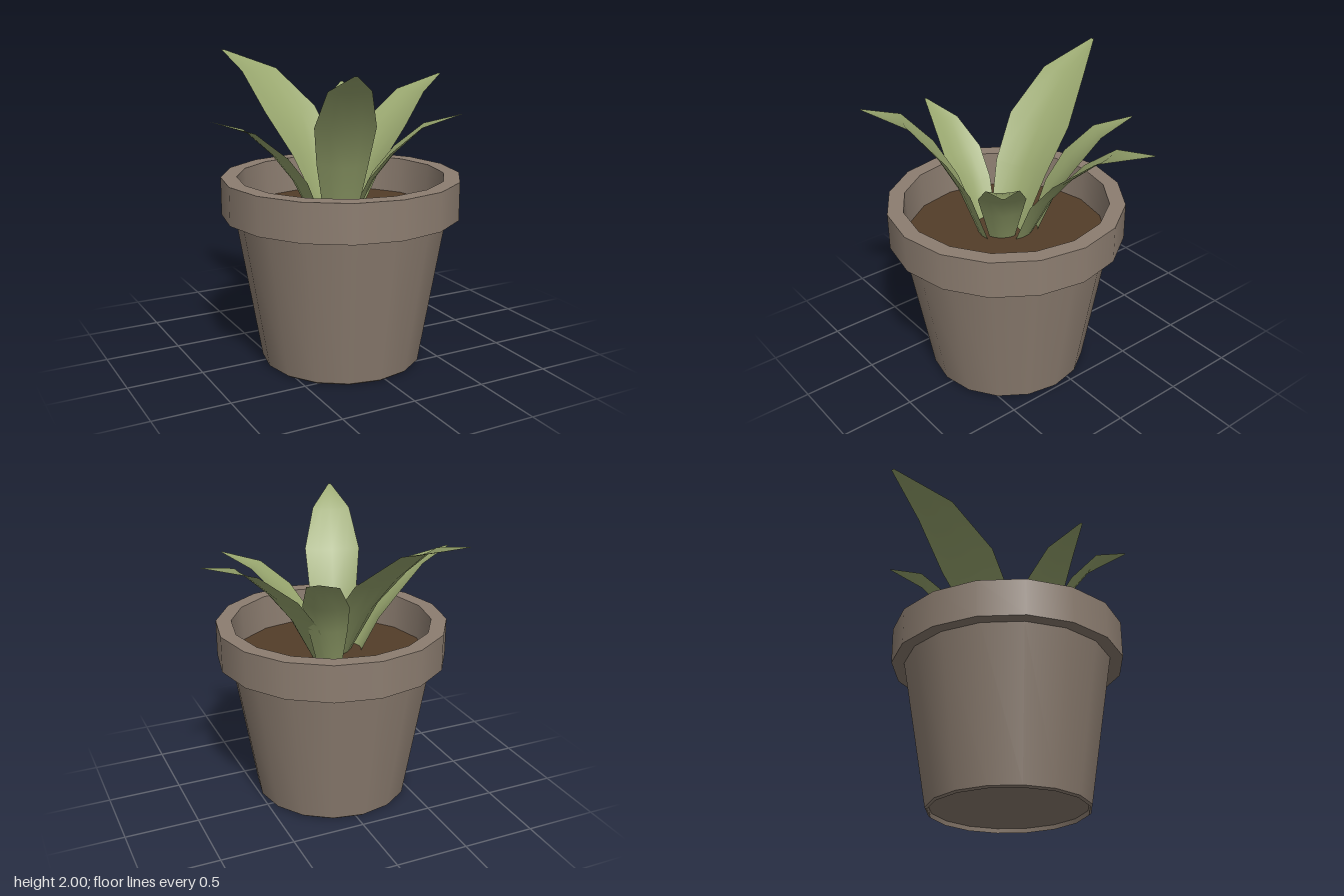
import * as THREE from 'three';

const SIDES = 16;

export function createModel() {
  const material = (name, color, side = THREE.FrontSide) => {
    const m = new THREE.MeshStandardMaterial({ color, side });
    m.name = name;
    return m;
  };
  const clay = material('clay', 0x8c7d70);
  const earth = material('earth', 0x533d29);
  const green = material('leafGreen', 0x99a76f, THREE.DoubleSide);

  const model = new THREE.Group();
  model.name = 'pottedPlant';

  // Pot: each band is its own lathe so the edges between bands stay sharp
  const pot = new THREE.Group();
  pot.name = 'pot';
  pot.position.set(-0.045, 0, 0.13);
  model.add(pot);

  const band = (name, mat, ...profile) => {
    const points = profile.map(([r, y]) => new THREE.Vector2(r, y));
    const mesh = new THREE.Mesh(new THREE.LatheGeometry(points, SIDES), mat);
    mesh.name = name;
    pot.add(mesh);
  };
  band('potFloor', clay, [0, 0.03], [0.515, 0.03]);
  band('footInside', clay, [0.515, 0.03], [0.52, 0]);
  band('footEdge', clay, [0.52, 0], [0.535, 0.012]);
  band('potWall', clay, [0.535, 0.012], [0.7, 1]);
  band('rimUnderside', clay, [0.69, 1], [0.785, 1]);
  band('rimOutside', clay, [0.785, 1], [0.785, 1.25]);
  band('rimTop', clay, [0.785, 1.25], [0.68, 1.25]);
  band('rimInside', clay, [0.68, 1.25], [0.665, 1]);
  band('soil', earth, [0.668, 1.01], [0, 1.01]);

  // Leaves share one outline: distance, height, half width and cupping per station
  const stations = [
    [0, 0, 0.55, 0.3], [0.17, 0.38, 0.86, 0.25], [0.37, 0.64, 1, 0.17],
    [0.65, 0.885, 0.68, 0.12], [1, 1, 0.05, 0],
  ];
  const COLUMNS = 4;

  // base and tip are [x, z]; the leaf arches from the soil up to the tip height
  function leafGeometry(base, tip, tipHeight, halfWidth) {
    const reach = Math.hypot(tip[0] - base[0], tip[1] - base[1]);
    const dx = (tip[0] - base[0]) / reach, dz = (tip[1] - base[1]) / reach;
    const rise = tipHeight - 1;
    const positions = [], index = [];
    stations.forEach(([t, h, w, cup], i) => {
      const a = stations[Math.max(i - 1, 0)];
      const b = stations[Math.min(i + 1, stations.length - 1)];
      const slope = Math.atan2((b[1] - a[1]) * rise, (b[0] - a[0]) * reach);
      for (let j = 0; j <= COLUMNS; j++) {
        const u = (j / COLUMNS) * 2 - 1;
        const sag = cup * w * halfWidth * (1 - u * u);
        const along = t * reach + sag * Math.sin(slope);
        const across = u * w * halfWidth;
        positions.push(
          base[0] + dx * along - dz * across,
          1 + h * rise - sag * Math.cos(slope),
          base[1] + dz * along + dx * across,
        );
        if (i > 0 && j > 0) {
          const p = i * (COLUMNS + 1) + j, q = p - COLUMNS - 1;
          index.push(q - 1, q, p, q - 1, p, p - 1);
        }
      }
    });
    const geometry = new THREE.BufferGeometry();
    geometry.setAttribute('position', new THREE.Float32BufferAttribute(positions, 3));
    geometry.setIndex(index);
    geometry.computeVertexNormals();
    return geometry;
  }

  const leaves = [
    ['backLeaf', [-0.08, 0.11], [-0.43, -0.95], 2.0, 0.23],
    ['leftLeaf', [0.06, 0.06], [0.935, -0.2], 1.835, 0.185],
    ['backLeftLeaf', [0.04, -0.03], [0.35, -0.595], 1.77, 0.15],
    ['frontLeftLeaf', [0.0, 0.2], [0.56, 0.61], 1.67, 0.15],
    ['frontLeaf', [-0.12, 0.26], [-0.39, 0.945], 1.985, 0.19],
    ['rightLeaf', [-0.24, 0.155], [-0.94, 0.145], 1.665, 0.145],
  ];
  for (const [name, ...shape] of leaves) {
    const leaf = new THREE.Mesh(leafGeometry(...shape), green);
    leaf.name = name;
    model.add(leaf);
  }
  return model;
}
